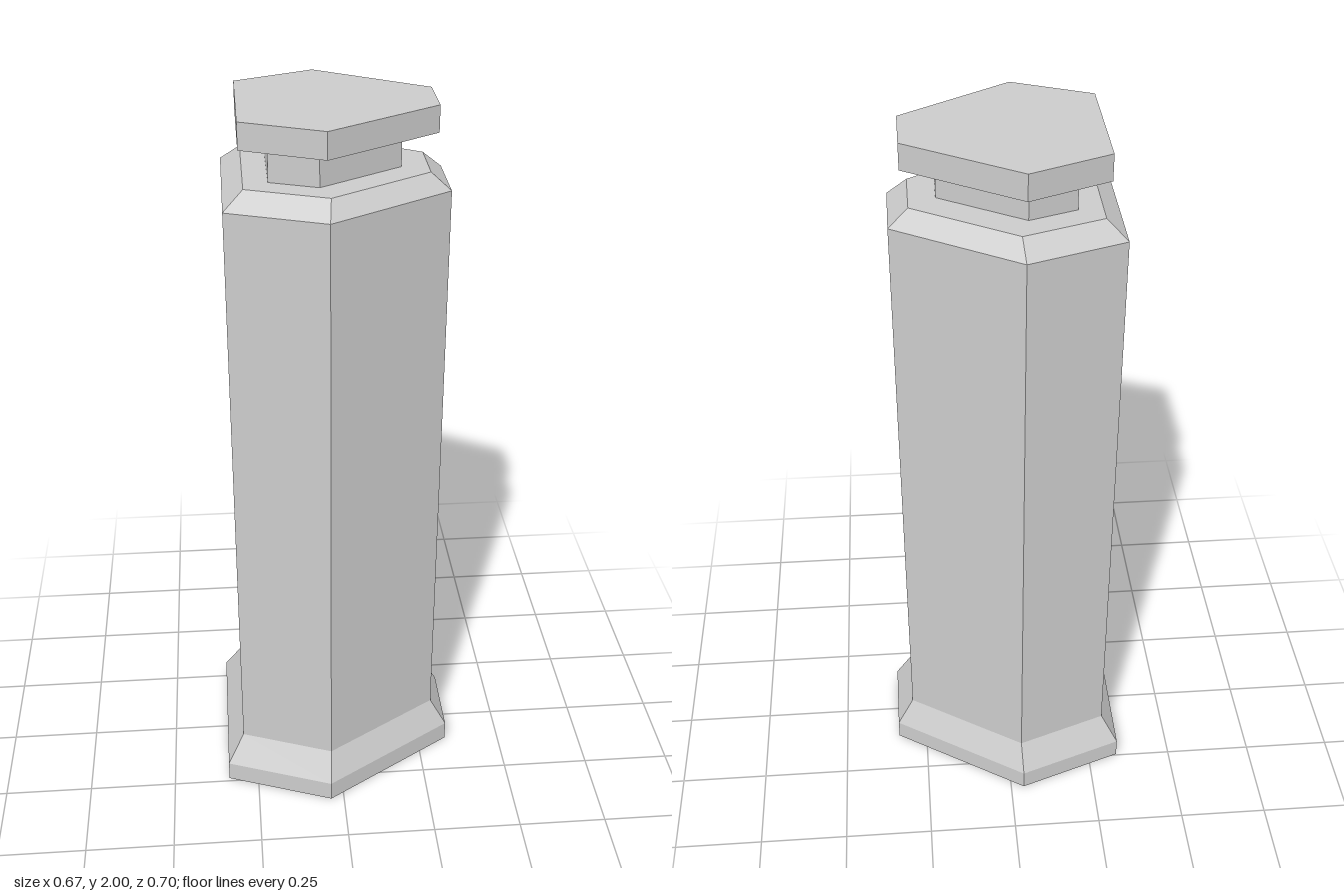
import * as THREE from 'three';

// Uneven six-sided outlines as [x, z], listed clockwise seen from above
const SHAFT = [[-0.29, -0.212], [-0.034, -0.304], [0.289, -0.1], [0.289, 0.094], [-0.034, 0.301], [-0.29, 0.204]];
const FOOT = [[-0.337, -0.246], [-0.038, -0.352], [0.336, -0.116], [0.336, 0.11], [-0.038, 0.35], [-0.337, 0.238]];
const NECK = [[-0.175, -0.124], [-0.05, -0.17], [0.168, -0.032], [0.168, 0.03], [-0.05, 0.17], [-0.175, 0.122]];
const CAP = [[-0.248, -0.18], [-0.038, -0.271], [0.255, -0.082], [0.255, 0.075], [-0.038, 0.266], [-0.248, 0.174]];
const SHOULDER = SHAFT.map(([x, z]) => [x * 0.82, z * 0.82]);

// Closed solid through a stack of [outline, height] sections
function loft(sections) {
  const pos = [];
  const rings = sections.map(([outline, y]) => outline.map(([x, z]) => [x, y, z]));
  const tri = (a, b, c) => pos.push(...a, ...b, ...c);
  const n = rings[0].length;
  for (let k = 0; k < rings.length - 1; k++) {
    const lo = rings[k], hi = rings[k + 1];
    for (let i = 0; i < n; i++) {
      const j = (i + 1) % n;
      tri(lo[i], hi[i], hi[j]);
      tri(lo[i], hi[j], lo[j]);
    }
  }
  const bottom = rings[0], top = rings[rings.length - 1];
  for (let i = 1; i < n - 1; i++) {
    tri(bottom[0], bottom[i], bottom[i + 1]);
    tri(top[0], top[i + 1], top[i]);
  }
  const geometry = new THREE.BufferGeometry();
  geometry.setAttribute('position', new THREE.Float32BufferAttribute(pos, 3));
  geometry.computeVertexNormals();
  return geometry;
}

export function createModel() {
  const group = new THREE.Group();
  const material = new THREE.MeshStandardMaterial({ color: 0xcccccc, flatShading: true });
  const add = (name, sections) => {
    const mesh = new THREE.Mesh(loft(sections), material);
    mesh.name = name;
    group.add(mesh);
  };

  // Flared foot, straight shaft and bevelled shoulder in one body
  add('body', [[FOOT, 0], [FOOT, 0.058], [SHAFT, 0.14], [SHAFT, 1.785], [SHOULDER, 1.83]]);
  // Narrow neck below the cap
  add('neck', [[NECK, 1.83], [NECK, 1.93]]);
  // Flat cap plate
  add('cap', [[CAP, 1.93], [CAP, 2]]);
  return group;
}
